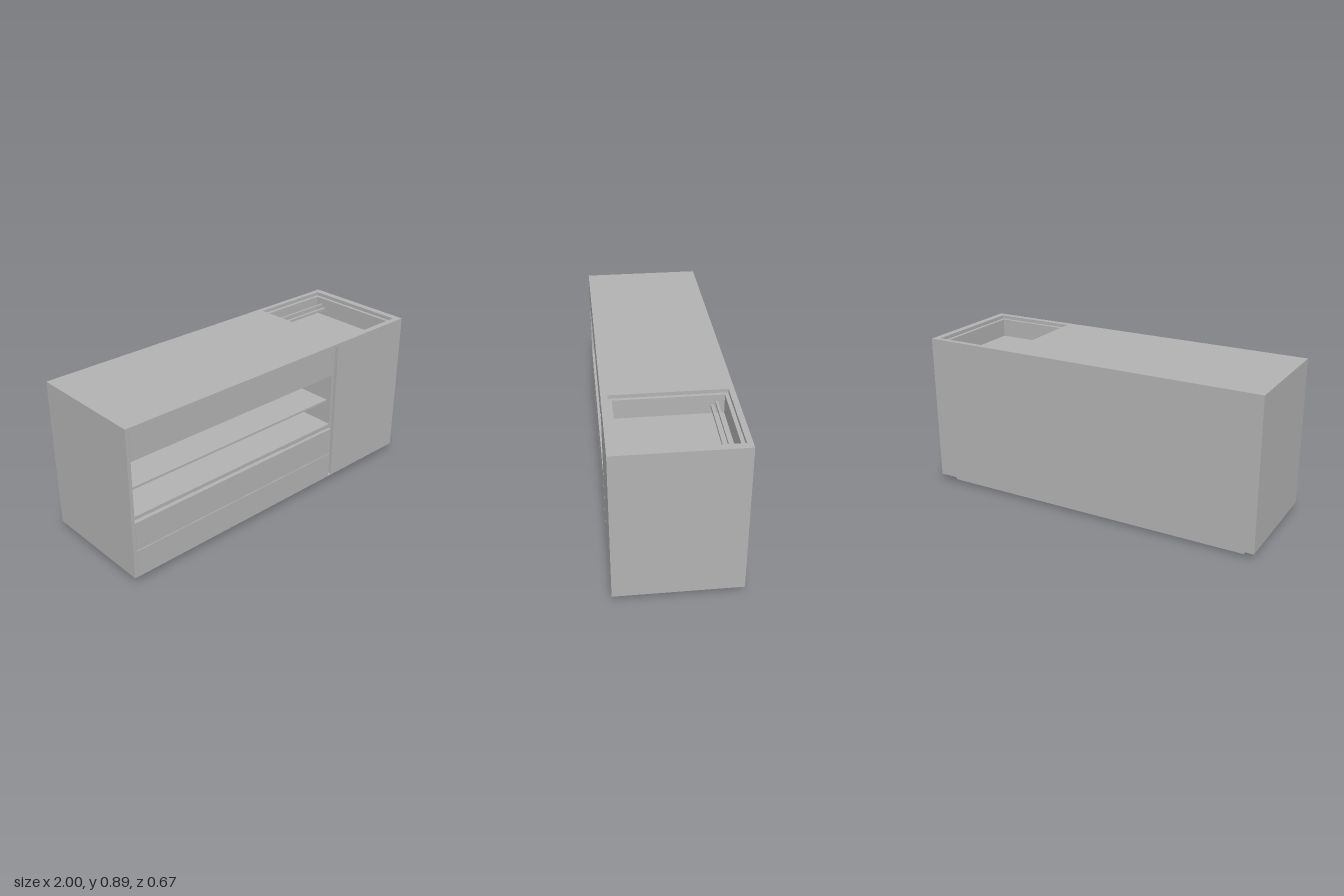
import * as THREE from 'three';

export function createModel() {
  const model = new THREE.Group();
  model.name = 'kitchenIsland';
  const grey = new THREE.MeshStandardMaterial({ color: 0xb2b2b2 });
  grey.name = 'plain grey';

  // Box given by its limits on each axis
  const box = (name, x0, x1, y0, y1, z0, z1) => {
    const mesh = new THREE.Mesh(new THREE.BoxGeometry(x1 - x0, y1 - y0, z1 - z0), grey);
    mesh.name = name;
    mesh.position.set((x0 + x1) / 2, (y0 + y1) / 2, (z0 + z1) / 2);
    model.add(mesh);
  };

  // Horizontal slab with a rectangular opening
  const framedSlab = (name, [x0, x1, z0, z1], [a0, a1, b0, b1], y0, y1) => {
    const rect = (path, l, r, back, front) => {
      path.moveTo(l, -front);
      path.lineTo(r, -front);
      path.lineTo(r, -back);
      path.lineTo(l, -back);
      path.closePath();
      return path;
    };
    const shape = rect(new THREE.Shape(), x0, x1, z0, z1);
    shape.holes.push(rect(new THREE.Path(), a0, a1, b0, b1));
    const geometry = new THREE.ExtrudeGeometry(shape, { depth: y1 - y0, bevelEnabled: false });
    geometry.rotateX(-Math.PI / 2).translate(0, y0, 0);
    const mesh = new THREE.Mesh(geometry, grey);
    mesh.name = name;
    model.add(mesh);
  };

  const Z = 0.335;    // half depth of the cabinet
  const inner = 0.315; // plane behind the front panels

  // Plinth and carcass
  box('plinth', -0.93, 0.93, 0, 0.04, -0.29, 0.28);
  box('bottomPanel', -0.98, 0.98, 0.04, 0.06, -inner, inner);
  box('backPanel', -1, 1, 0.04, 0.89, -Z, -inner);
  box('rightSidePanel', -1, -0.98, 0.04, 0.89, -inner, Z);
  box('leftSidePanel', 0.98, 1, 0.04, 0.89, -inner, inner);
  box('partition', 0.425, 0.445, 0.06, 0.87, -inner, inner);

  // Worktop with a stepped opening over the basin
  framedSlab('worktop', [-0.98, 0.98, -inner, inner], [0.48, 0.96, -0.305, 0.3], 0.87, 0.89);
  framedSlab('basinLedge', [0.445, 0.98, -inner, inner], [0.5, 0.94, -0.285, 0.28], 0.85, 0.87);
  framedSlab('basinWalls', [0.48, 0.96, -0.305, 0.3], [0.5, 0.94, -0.285, 0.28], 0.75, 0.85);
  box('basinFloor', 0.48, 0.96, 0.75, 0.765, -0.305, 0.3);
  box('basinBackRail', 0.5, 0.94, 0.82, 0.835, -0.25, -0.238);
  box('basinFrontRail', 0.5, 0.94, 0.8, 0.815, -0.23, -0.215);

  // Open shelves
  box('upperDeck', -0.98, 0.425, 0.695, 0.71, -inner, inner);
  box('middleShelf', -0.97, 0.41, 0.53, 0.542, -inner, 0.3);
  box('lowerDeck', -0.98, 0.425, 0.365, 0.385, -inner, inner);

  // Front panels, separated by narrow gaps
  const fronts = [['lowerDrawer', 0.045, 0.196], ['upperDrawer', 0.2, 0.362], ['topFront', 0.71, 0.87]];
  for (const [name, y0, y1] of fronts) box(name, -0.978, 0.42, y0, y1, inner, Z);
  box('topFrontEdge', -0.98, 1, 0.87, 0.89, inner, Z);
  box('cabinetDoor', 0.442, 1, 0.045, 0.87, inner, Z);
  box('bottomFrontEdge', -0.98, 1, 0.04, 0.045, inner, Z);

  return model;
}
